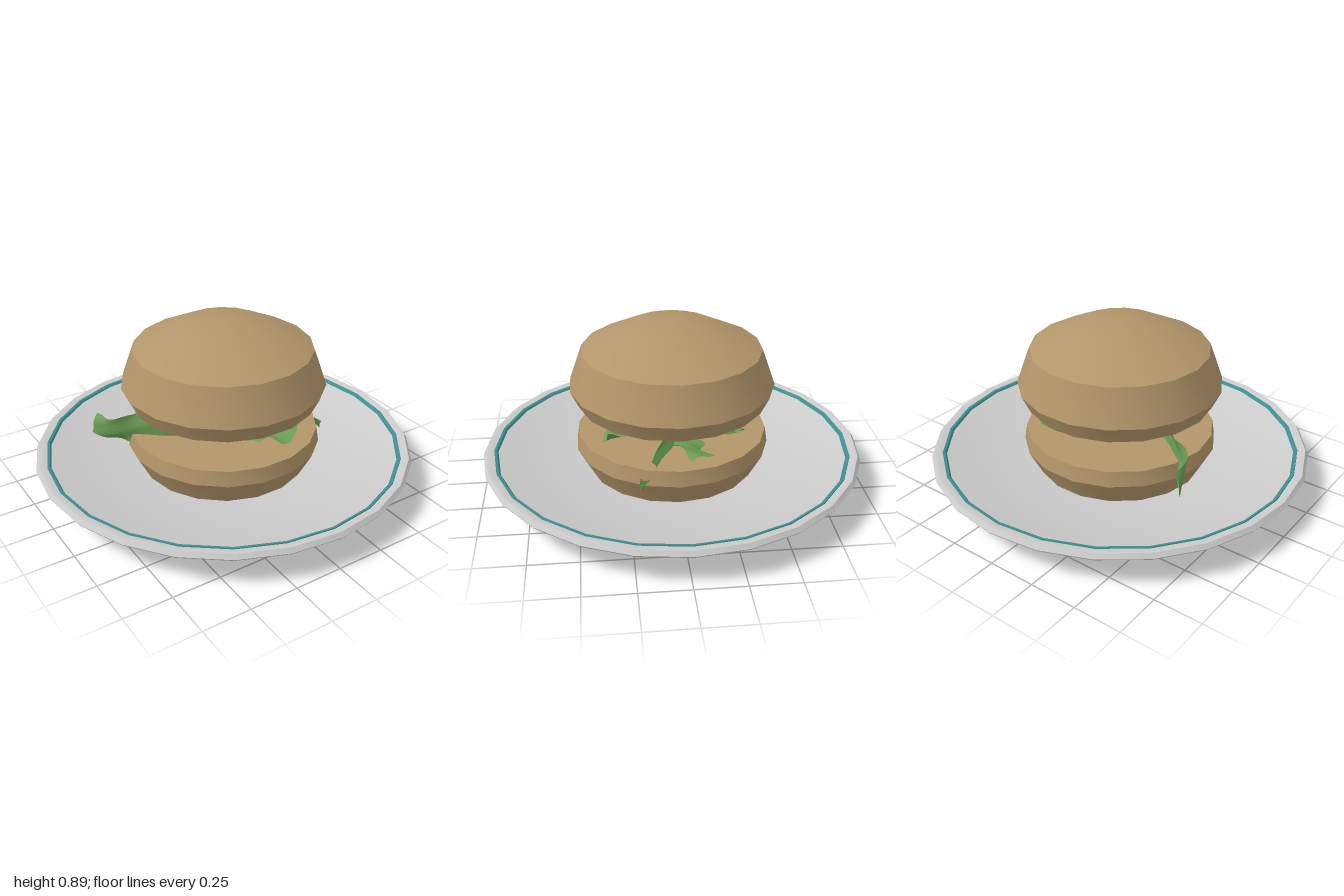
import * as THREE from 'three';
import { toCreasedNormals } from 'three/addons/utils/BufferGeometryUtils.js';

const BUN = 0xb3966a, TEAL = 0x3f8f92, GREY = 0xcccccc;
const LEAF = 0x6b9e55, LEAF_DARK = 0x47783a;

function add(parent, name, geometry, color, side = THREE.FrontSide) {
  const mesh = new THREE.Mesh(geometry, new THREE.MeshStandardMaterial({ color, side }));
  mesh.name = name;
  parent.add(mesh);
  return mesh;
}

// Turned solid with crisp rings; profile runs from the bottom up the outside
function turned(profile, sides) {
  const points = profile.map(([r, y]) => new THREE.Vector2(r, y));
  return toCreasedNormals(new THREE.LatheGeometry(points, sides, Math.PI / 2), 0.42);
}

// Rippled ribbon along a curve, tapered at both ends; "across" is the width vector
function leafGeometry(path, across, ripple, waves) {
  const curve = new THREE.CatmullRomCurve3(path.map((p) => new THREE.Vector3(...p)));
  const wide = new THREE.Vector3(...across);
  const rows = 20, cols = 6, position = [], index = [];
  for (let i = 0; i <= rows; i++) {
    const t = i / rows;
    const centre = curve.getPoint(t);
    const normal = curve.getTangent(t).cross(wide).normalize();
    const taper = 0.45 + 0.55 * Math.sin(Math.PI * Math.min(1, 0.12 + t * 0.8));
    for (let j = 0; j <= cols; j++) {
      const s = (j / cols) * 2 - 1;
      const frill = 1 + 0.1 * Math.sin(t * waves * 9 + s * 2);
      const lift = ripple * s * s * (0.6 + Math.sin(t * waves * 6.28 + s * 1.5));
      const p = centre.clone().addScaledVector(wide, (s * taper * frill) / 2)
        .addScaledVector(normal, lift);
      position.push(p.x, p.y, p.z);
      if (i < rows && j < cols) {
        const a = i * (cols + 1) + j, b = a + cols + 1;
        index.push(a, b, a + 1, b, b + 1, a + 1);
      }
    }
  }
  const geometry = new THREE.BufferGeometry();
  geometry.setAttribute('position', new THREE.Float32BufferAttribute(position, 3));
  geometry.setIndex(index);
  geometry.computeVertexNormals();
  return geometry;
}

export function createModel() {
  const model = new THREE.Group();
  model.name = 'burgerOnPlate';

  // Plate with a raised rim and a coloured band
  add(model, 'plate', turned([
    [0, 0], [0.56, 0], [0.6, 0.04], [0.995, 0.17], [1, 0.178], [0.985, 0.2],
    [0.965, 0.2], [0.92, 0.185], [0.56, 0.098], [0, 0.095],
  ], 24), GREY);
  add(model, 'plateBand', turned([
    [0.945, 0.188], [0.943, 0.198], [0.93, 0.196], [0.918, 0.18],
  ], 24), TEAL, THREE.DoubleSide);

  // Bun halves
  add(model, 'bottomBun', turned([
    [0, 0.095], [0.44, 0.095], [0.508, 0.225], [0.495, 0.305], [0, 0.305],
  ], 18), BUN);
  add(model, 'topBun', turned([
    [0, 0.47], [0.49, 0.47], [0.533, 0.56], [0.465, 0.75], [0.23, 0.865], [0, 0.887],
  ], 18), BUN);

  // Oval ring of seeds under the top bun, every second one pressed into it
  const seeds = new THREE.Group();
  seeds.name = 'seeds';
  model.add(seeds);
  for (let i = 0; i < 8; i++) {
    const angle = (i * Math.PI) / 4;
    const pressed = i % 2 === 0;
    const seed = add(seeds, 'seed', new THREE.SphereGeometry(1, 10, 6), pressed ? BUN : GREY);
    seed.scale.set(0.033, 0.016, 0.043);
    seed.position.set(0.28 * Math.cos(angle), pressed ? 0.474 : 0.436, 0.42 * Math.sin(angle));
  }

  // Lettuce: path, width vector, ripple, waves, colour
  const leaves = [
    ['overhangingLeaf', [[0.06, 0.36, 0.12], [-0.2, 0.37, 0.06], [-0.42, 0.34, -0.1],
      [-0.54, 0.32, -0.2], [-0.6, 0.31, -0.34]], [0, 0.17, 0.02], 0.02, 2, LEAF],
    ['frontLeaf', [[-0.12, 0.34, 0.1], [0.08, 0.34, 0.22], [0.2, 0.33, 0.36]],
      [0.14, 0.07, -0.08], 0.025, 2, LEAF],
    ['rightLeaf', [[0.08, 0.34, 0.02], [0.25, 0.34, -0.04], [0.42, 0.34, -0.12]],
      [0.06, 0.06, 0.18], 0.02, 2, LEAF],
    ['backLeaf', [[-0.12, 0.34, -0.02], [0.06, 0.36, -0.18], [0.27, 0.4, -0.34]],
      [0.1, 0.11, 0.06], 0.025, 2, LEAF],
    ['curledLeaf', [[0.22, 0.4, -0.06], [0.28, 0.445, 0.0], [0.34, 0.36, 0.06],
      [0.43, 0.29, 0.14], [0.5, 0.22, 0.2]], [0.035, 0.01, -0.05], 0.01, 3, LEAF_DARK],
  ];
  const lettuce = new THREE.Group();
  lettuce.name = 'lettuce';
  model.add(lettuce);
  for (const [name, path, across, ripple, waves, color] of leaves) {
    add(lettuce, name, leafGeometry(path, across, ripple, waves), color, THREE.DoubleSide);
  }
  return model;
}
